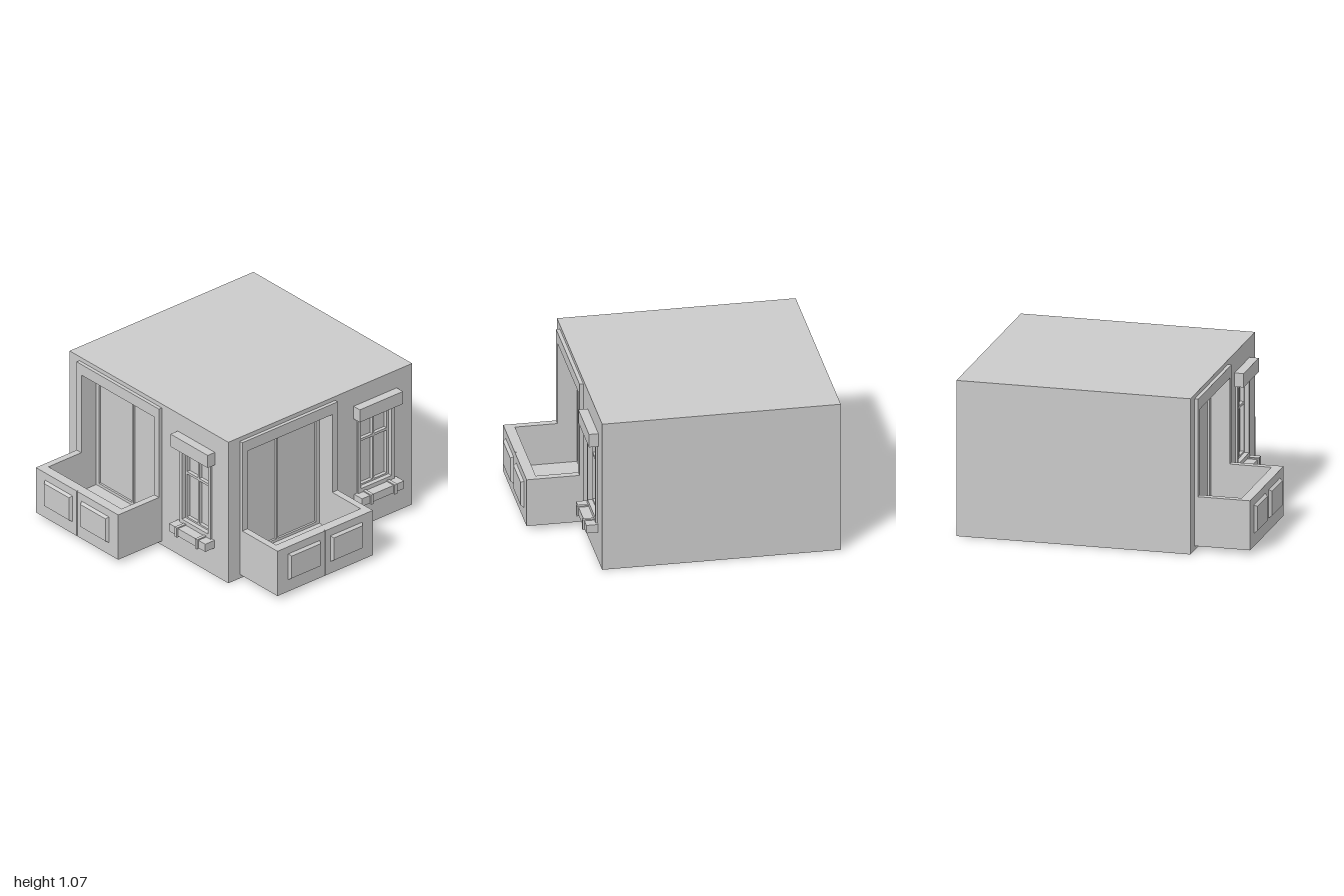
import * as THREE from 'three';

const material = new THREE.MeshStandardMaterial({ color: 0xcccccc, flatShading: true });

function add(parent, name, geometry) {
  const mesh = new THREE.Mesh(geometry, material);
  mesh.name = name;
  parent.add(mesh);
  return mesh;
}

// Box given by its minimum and maximum on each axis
function box(parent, name, x0, x1, y0, y1, z0, z1) {
  const mesh = add(parent, name, new THREE.BoxGeometry(x1 - x0, y1 - y0, z1 - z0));
  mesh.position.set((x0 + x1) / 2, (y0 + y1) / 2, (z0 + z1) / 2);
  return mesh;
}

function rect(Type, x0, x1, y0, y1) {
  return new Type([[x0, y0], [x1, y0], [x1, y1], [x0, y1]].map(p => new THREE.Vector2(...p)));
}

// Upright slab with rectangular openings, each [x0, x1, y0, y1]
function slab(parent, name, outer, holes, z0, z1) {
  const shape = rect(THREE.Shape, ...outer);
  shape.holes = holes.map(h => rect(THREE.Path, ...h));
  const mesh = add(parent, name, new THREE.ExtrudeGeometry(shape, { depth: z1 - z0, bevelEnabled: false }));
  mesh.position.z = z0;
  return mesh;
}

// Raised panel whose front face is smaller than its base
function bevelledPanel(parent, name, x0, x1, y0, y1, z0, z1, inset) {
  const mesh = box(parent, name, x0, x1, y0, y1, z0, z1);
  const p = mesh.geometry.attributes.position;
  for (let i = 0; i < p.count; i++) {
    if (p.getZ(i) > 0) {
      p.setX(i, p.getX(i) - Math.sign(p.getX(i)) * inset);
      p.setY(i, p.getY(i) - Math.sign(p.getY(i)) * inset);
    }
  }
  mesh.geometry.computeVertexNormals();
}

const HEIGHT = 1.07, WALL = 0.6, BACK = 0.48;
const DOOR = [-0.853, -0.117, 0.08, 0.96];
const WINDOW = [0.145, 0.41, 0.295, 0.815];

function balconyDoor(parent) {
  const g = new THREE.Group();
  g.name = 'balconyDoor';
  slab(g, 'doorSurround', [-0.9, -0.07, 0.03, 1.04], [DOOR], WALL, 0.625);
  slab(g, 'doorFrame', DOOR, [[-0.825, -0.491, 0.1, 0.94], [-0.479, -0.145, 0.1, 0.94]], BACK, 0.495);
  parent.add(g);
}

function balcony(parent) {
  const g = new THREE.Group();
  g.name = 'balcony';
  box(g, 'balconyFloor', -0.853, -0.117, 0.03, 0.08, WALL, 0.91);
  box(g, 'balconySide', -0.9, -0.853, 0.03, 0.37, WALL, 0.91);
  box(g, 'balconySide', -0.117, -0.07, 0.03, 0.37, WALL, 0.91);
  box(g, 'balconyFront', -0.9, -0.07, 0.03, 0.37, 0.91, 0.97);
  // Two front skins leave a fine groove in the middle
  for (const [x0, x1, p0, p1] of [[-0.9, -0.488, -0.807, -0.53], [-0.482, -0.07, -0.44, -0.163]]) {
    box(g, 'frontSkin', x0, x1, 0.03, 0.37, 0.97, 0.98);
    bevelledPanel(g, 'raisedPanel', p0, p1, 0.12, 0.315, 0.98, 1.0, 0.013);
  }
  parent.add(g);
}

function windowUnit(parent) {
  const g = new THREE.Group();
  g.name = 'window';
  slab(g, 'windowSurround', [0.12, 0.435, 0.265, 0.84], [WINDOW], WALL, 0.612);
  // Four panes between the glazing bars
  const panes = [];
  for (const x of [[0.16, 0.271], [0.284, 0.395]]) {
    for (const y of [[0.307, 0.632], [0.65, 0.8]]) panes.push([...x, ...y]);
  }
  slab(g, 'windowSash', WINDOW, panes, 0.55, 0.58);
  box(g, 'windowGlass', 0.145, 0.41, 0.295, 0.815, 0.54, 0.555);
  box(g, 'lintel', 0.09, 0.465, 0.84, 0.935, WALL, 0.663);
  box(g, 'sill', 0.095, 0.46, 0.207, 0.265, WALL, 0.68);
  for (const x of [0.175, 0.38]) box(g, 'sillBracket', x - 0.011, x + 0.011, 0.2, 0.273, WALL, 0.692);
  parent.add(g);
}

// One facade; start trims the wall where it meets its neighbour at the corner
function facade(name, start) {
  const g = new THREE.Group();
  g.name = name;
  slab(g, 'wall', [start, 0.6, 0, HEIGHT], [DOOR, WINDOW], BACK, WALL);
  balconyDoor(g);
  balcony(g);
  windowUnit(g);
  return g;
}

export function createModel() {
  const model = new THREE.Group();
  model.name = 'building';
  box(model, 'buildingCore', -1, BACK, 0, HEIGHT, -1, BACK);
  model.add(facade('frontFacade', -1));
  // The side facade is the front one turned a quarter about the building centre (-0.2, -0.2)
  const side = facade('leftFacade', -0.88);
  side.rotation.y = Math.PI / 2;
  side.position.set(0, 0, -0.4);
  model.add(side);
  return model;
}
